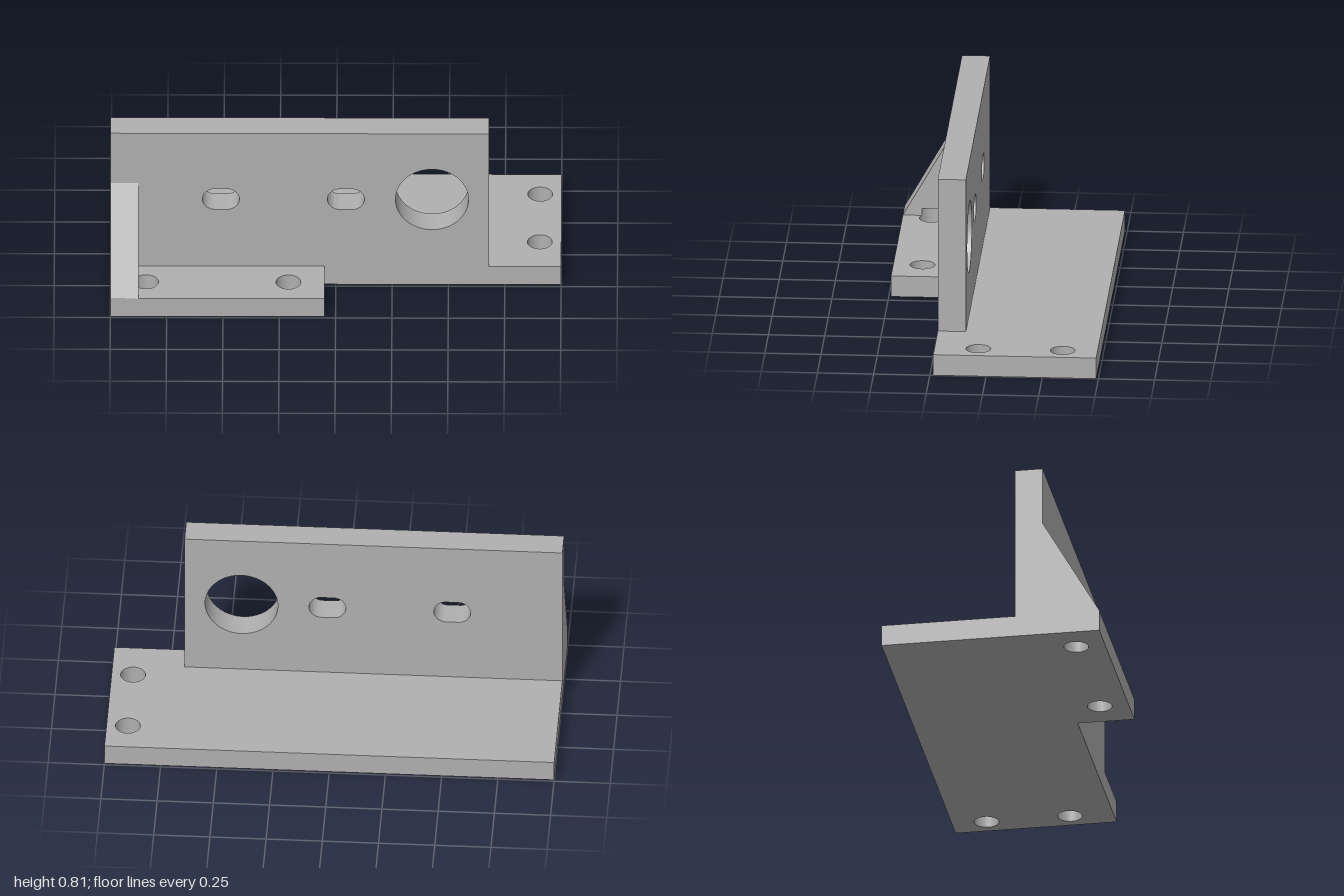
import * as THREE from 'three';
import { toCreasedNormals } from 'three/addons/utils/BufferGeometryUtils.js';

const T = 0.097;                       // base thickness
const WALL_BACK = 0.11, WALL_FRONT = 0.235, FRONT = 0.49;
const GUSSET_X = -0.875, GUSSET_TOP = 0.543;
const BOLT_R = 0.055, CUT_TOP = 0.13;  // bolt hole radius, height of its clearance cut

const polygon = (pts) => new THREE.Shape(pts.map(([x, y]) => new THREE.Vector2(x, y)));

const roundHole = (x, y, r) => {
  const p = new THREE.Path();
  p.absarc(x, y, r, 0, Math.PI * 2, true);
  return p;
};

const slotHole = (x, y, halfLength, r) => {
  const d = halfLength - r, p = new THREE.Path();
  p.absarc(x + d, y, r, -Math.PI / 2, Math.PI / 2, false);
  p.absarc(x - d, y, r, Math.PI / 2, Math.PI * 1.5, false);
  p.closePath();
  return p;
};

const extrude = (shape, depth) =>
  new THREE.ExtrudeGeometry(shape, { depth, bevelEnabled: false, curveSegments: 32 });

export function createModel() {
  const group = new THREE.Group();
  const metal = new THREE.MeshStandardMaterial({ color: 0xb0b0b0 });
  metal.name = 'grey metal';
  const add = (name, geometry) => {
    const mesh = new THREE.Mesh(toCreasedNormals(geometry, 0.5), metal);
    mesh.name = name;
    group.add(mesh);
  };

  // Base plate with a front tab, drawn in plan (shape y = -z)
  const base = polygon([
    [-1, -FRONT], [-0.05, -FRONT], [-0.05, -WALL_FRONT],
    [1, -WALL_FRONT], [1, FRONT], [-1, FRONT],
  ]);
  for (const [x, z] of [[0.905, -0.335], [0.905, 0.04], [-0.842, 0.36], [-0.21, 0.36]])
    base.holes.push(roundHole(x, -z, BOLT_R));
  add('basePlate', extrude(base, T).rotateX(-Math.PI / 2));

  // Upright wall with two slots and a large bore
  const wall = polygon([[-1, T], [0.68, T], [0.68, 0.81], [-1, 0.81]]);
  wall.holes.push(
    slotHole(-0.51, 0.457, 0.082, BOLT_R),
    slotHole(0.045, 0.457, 0.082, BOLT_R),
    roundHole(0.427, 0.457, 0.162),
  );
  add('wall', extrude(wall, WALL_FRONT - WALL_BACK).translate(0, 0, WALL_BACK));

  // Gusset above the bolt clearance, a side profile in (z, y)
  const slope = (FRONT - WALL_FRONT) / (GUSSET_TOP - T);
  const cutFront = FRONT - slope * (CUT_TOP - T);
  const upper = polygon([[WALL_FRONT, CUT_TOP], [cutFront, CUT_TOP], [WALL_FRONT, GUSSET_TOP]]);
  add('gussetUpper', extrude(upper, 1 + GUSSET_X).rotateY(-Math.PI / 2).translate(GUSSET_X, 0, 0));

  // Foot of the gusset, notched by the bolt hole
  const a = Math.acos((-0.842 - GUSSET_X) / BOLT_R);
  const foot = new THREE.Shape();
  foot.moveTo(-1, -FRONT);
  foot.lineTo(GUSSET_X, -FRONT);
  foot.absarc(-0.842, -0.36, BOLT_R, Math.PI + a, Math.PI - a, true);
  foot.lineTo(GUSSET_X, -WALL_FRONT);
  foot.lineTo(-1, -WALL_FRONT);
  const footGeo = extrude(foot, CUT_TOP - T).rotateX(-Math.PI / 2).translate(0, T, 0);
  // Lean the front face back to follow the gusset slope
  const pos = footGeo.attributes.position;
  for (let i = 0; i < pos.count; i++)
    if (pos.getZ(i) > FRONT - 0.01 && pos.getY(i) > T + 0.01) pos.setZ(i, cutFront);
  add('gussetFoot', footGeo);

  return group;
}
